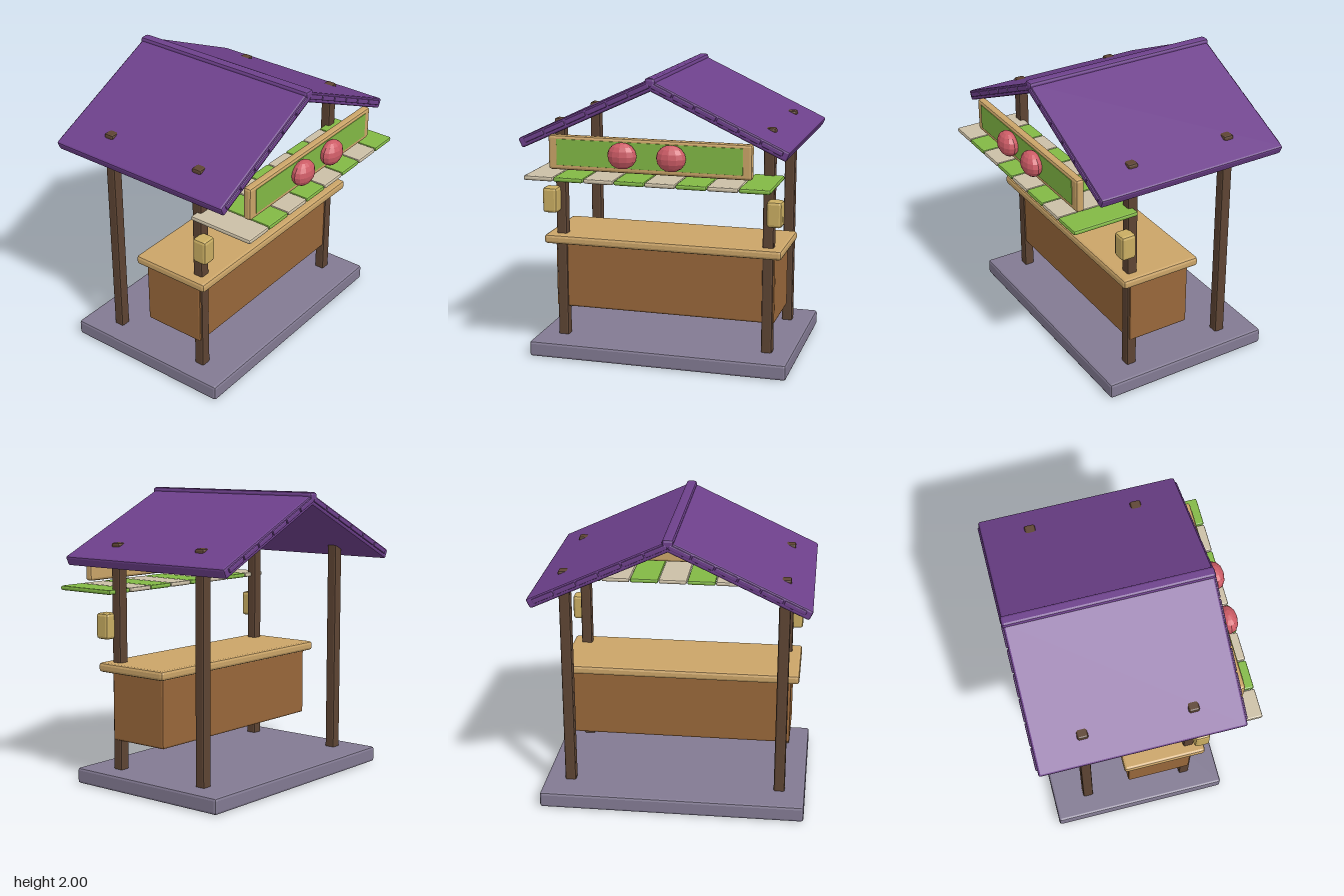
import * as THREE from 'three';
import { RoundedBoxGeometry } from 'three/addons/geometries/RoundedBoxGeometry.js';

const material = (name, color) => {
  const m = new THREE.MeshStandardMaterial({ color });
  m.name = name;
  return m;
};

export function createModel() {
  const stall = new THREE.Group();
  stall.name = 'marketStall';

  const stone = material('stone grey', 0x827a92);
  const darkWood = material('dark wood', 0x5d4433);
  const wood = material('brown wood', 0x98673a);
  const paleWood = material('pale wood', 0xcaa468);
  const purple = material('roof purple', 0x6d408b);
  const green = material('leaf green', 0x82b845);
  const cream = material('cream cloth', 0xcbbfa6);
  const red = material('fruit red', 0xcd5c66);
  const amber = material('lantern amber', 0xc9ad62);

  // Box with chamfered, flat-shaded edges, given by its limits on each axis
  function box(name, mat, [x0, x1], [y0, y1], [z0, z1], bevel = 0.015, parent = stall) {
    const geo = new RoundedBoxGeometry(x1 - x0, y1 - y0, z1 - z0, 1, bevel);
    geo.computeVertexNormals();
    const mesh = new THREE.Mesh(geo, mat);
    mesh.position.set((x0 + x1) / 2, (y0 + y1) / 2, (z0 + z1) / 2);
    mesh.name = name;
    parent.add(mesh);
    return mesh;
  }

  // Floor slab and counter
  box('floorSlab', stone, [-0.91, 0.91], [0, 0.11], [-0.69, 0.55], 0.018);
  box('counterBody', wood, [-0.782, 0.782], [0.315, 0.79], [-0.132, 0.325]);
  box('counterTop', paleWood, [-0.838, 0.838], [0.785, 0.85], [-0.175, 0.405], 0.02);

  // Posts and lanterns on both sides
  for (const side of [-1, 1]) {
    for (const z of [0.3, -0.435]) {
      const x = side * 0.732;
      box('post', darkWood, [x - 0.038, x + 0.038], [0.1, 1.66], [z - 0.037, z + 0.037], 0.013);
    }
    const lx = side * 0.786;
    box('lantern', amber, [lx - 0.053, lx + 0.053], [1.01, 1.187], [0.316, 0.422], 0.02);
  }

  // Gabled roof: two sloping slabs, each with a row of planks showing at the gables
  const slope = Math.atan2(0.42, 0.905);
  const length = Math.hypot(0.42, 0.905);
  for (const side of [-1, 1]) {
    const half = new THREE.Group();
    half.name = side < 0 ? 'rightRoof' : 'leftRoof';
    half.position.set(0, 1.951, 0);
    if (side < 0) half.rotation.y = Math.PI;
    const pitch = new THREE.Group();
    pitch.name = 'roofPitch';
    pitch.rotation.z = -slope;
    half.add(pitch);
    // The turned half needs its depth limits mirrored
    const depth = (back, front) => (side < 0 ? [-front, -back] : [back, front]);
    box('roofSlab', purple, [-0.01, length + 0.005], [-0.035, 0.035], depth(-0.765, 0.62), 0.014, pitch);
    const step = (length - 0.03) / 6;
    for (let i = 0; i < 6; i++) {
      box('roofPlank', purple, [i * step + 0.004, (i + 1) * step - 0.004],
        [-0.012, 0.022], depth(-0.775, 0.63), 0.008, pitch);
    }
    stall.add(half);
  }
  box('ridgeCap', purple, [-0.037, 0.037], [1.935, 2], [-0.773, 0.628], 0.018);

  // Striped awning boards
  const width = 0.208;
  for (let i = 0; i < 8; i++) {
    const x = (i - 4) * width;
    box('awningBoard', i % 2 ? green : cream, [x + 0.002, x + width - 0.002],
      [1.314, 1.346], [0.3, 0.77], 0.012);
  }

  // Sign board with green panel and two faceted fruits
  box('signFrame', paleWood, [-0.69, 0.69], [1.375, 1.607], [0.61, 0.668], 0.018);
  box('signPanel', green, [-0.63, 0.63], [1.408, 1.583], [0.664, 0.672], 0.002);
  for (const x of [-0.165, 0.165]) {
    const geo = new THREE.SphereGeometry(1, 12, 8).toNonIndexed();
    geo.scale(0.1, 0.088, 0.066);
    geo.computeVertexNormals();
    const fruit = new THREE.Mesh(geo, red);
    fruit.name = 'signFruit';
    fruit.position.set(x, 1.5, 0.704);
    stall.add(fruit);
  }

  return stall;
}
